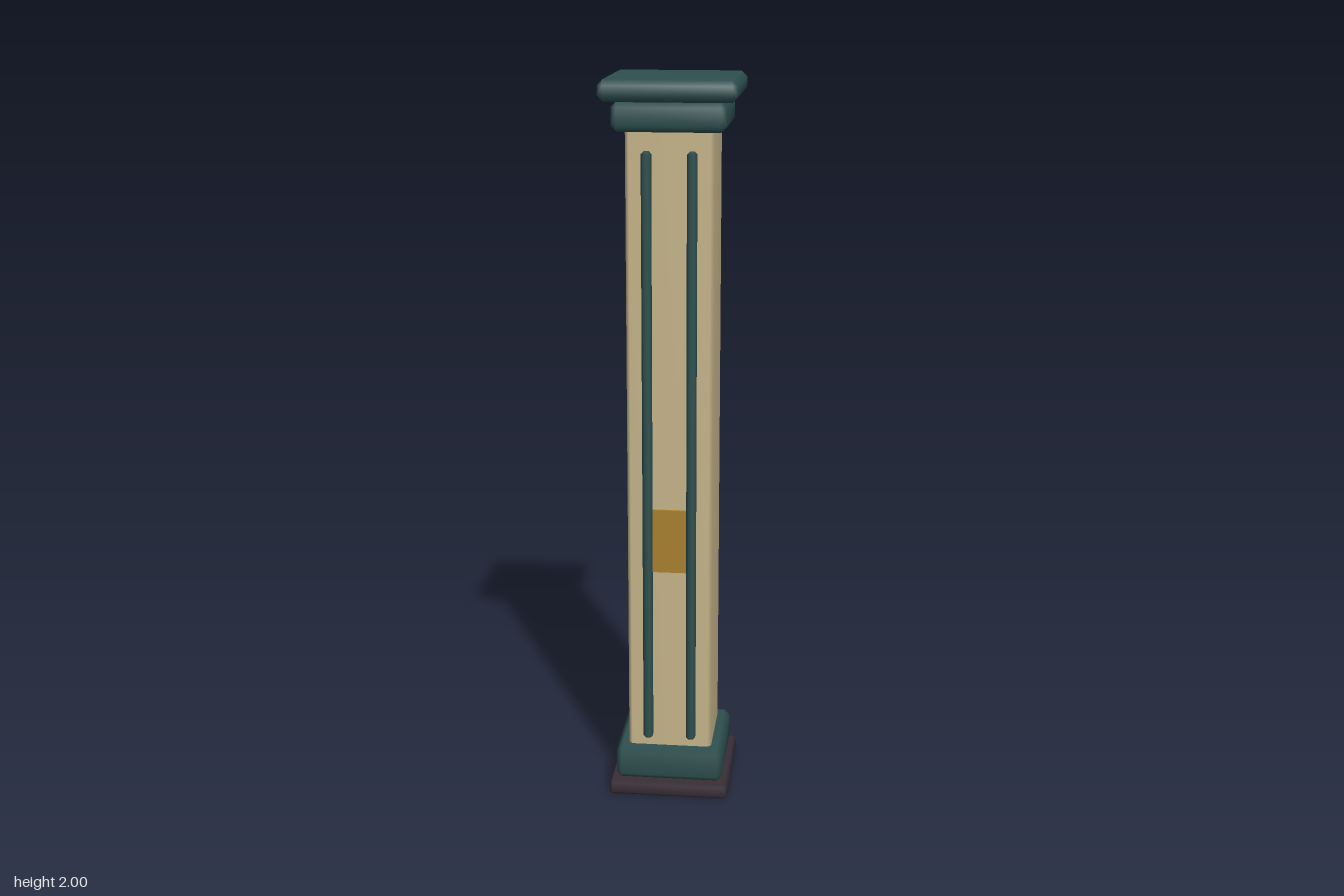
import * as THREE from 'three';
import { ConvexGeometry } from 'three/addons/geometries/ConvexGeometry.js';
import { mergeVertices } from 'three/addons/utils/BufferGeometryUtils.js';

const material = (name, color) => {
  const m = new THREE.MeshStandardMaterial({ color });
  m.name = name;
  return m;
};

// Box with single-step bevels and softened normals
function bevelBox(w, h, d, b) {
  const points = [];
  for (const sx of [-1, 1]) for (const sy of [-1, 1]) for (const sz of [-1, 1]) {
    for (let axis = 0; axis < 3; axis++) {
      const inset = [b, b, b];
      inset[axis] = 0;
      points.push(new THREE.Vector3(
        sx * (w / 2 - inset[0]), sy * (h / 2 - inset[1]), sz * (d / 2 - inset[2])));
    }
  }
  const hull = new ConvexGeometry(points);
  hull.deleteAttribute('normal');
  const geometry = mergeVertices(hull, 1e-5);
  geometry.computeVertexNormals();
  return geometry;
}

export function createModel() {
  const model = new THREE.Group();
  model.name = 'column';

  const teal = material('dark teal', 0x2f5050);
  const tan = material('tan', 0xc8b68c);
  const plum = material('dark plum', 0x392e37);
  const gold = material('ochre', 0xab8230);

  // Square block between two heights
  const block = (name, width, y0, y1, bevel, mat) => {
    const mesh = new THREE.Mesh(bevelBox(width, y1 - y0, width, bevel), mat);
    mesh.name = name;
    mesh.position.y = (y0 + y1) / 2;
    model.add(mesh);
  };

  // Stacked column from the ground up
  block('plinth', 0.334, 0, 0.043, 0.008, plum);
  block('base', 0.3, 0.043, 0.138, 0.015, teal);
  block('shaft', 0.234, 0.12, 1.88, 0.01, tan);
  block('neck', 0.3, 1.865, 1.943, 0.015, teal);
  block('cap', 0.36, 1.943, 2, 0.015, teal);

  // Raised strips on the front face
  for (const side of [-1, 1]) {
    const strip = new THREE.Mesh(bevelBox(0.026, 1.65, 0.03, 0.007), teal);
    strip.name = side > 0 ? 'leftStrip' : 'rightStrip';
    strip.position.set(side * 0.06, 0.99, 0.124);
    model.add(strip);
  }

  // Small plate between the strips
  const plate = new THREE.Mesh(new THREE.BoxGeometry(0.11, 0.18, 0.009), gold);
  plate.name = 'frontPlate';
  plate.position.set(0, 0.752, 0.1195);
  model.add(plate);

  return model;
}
